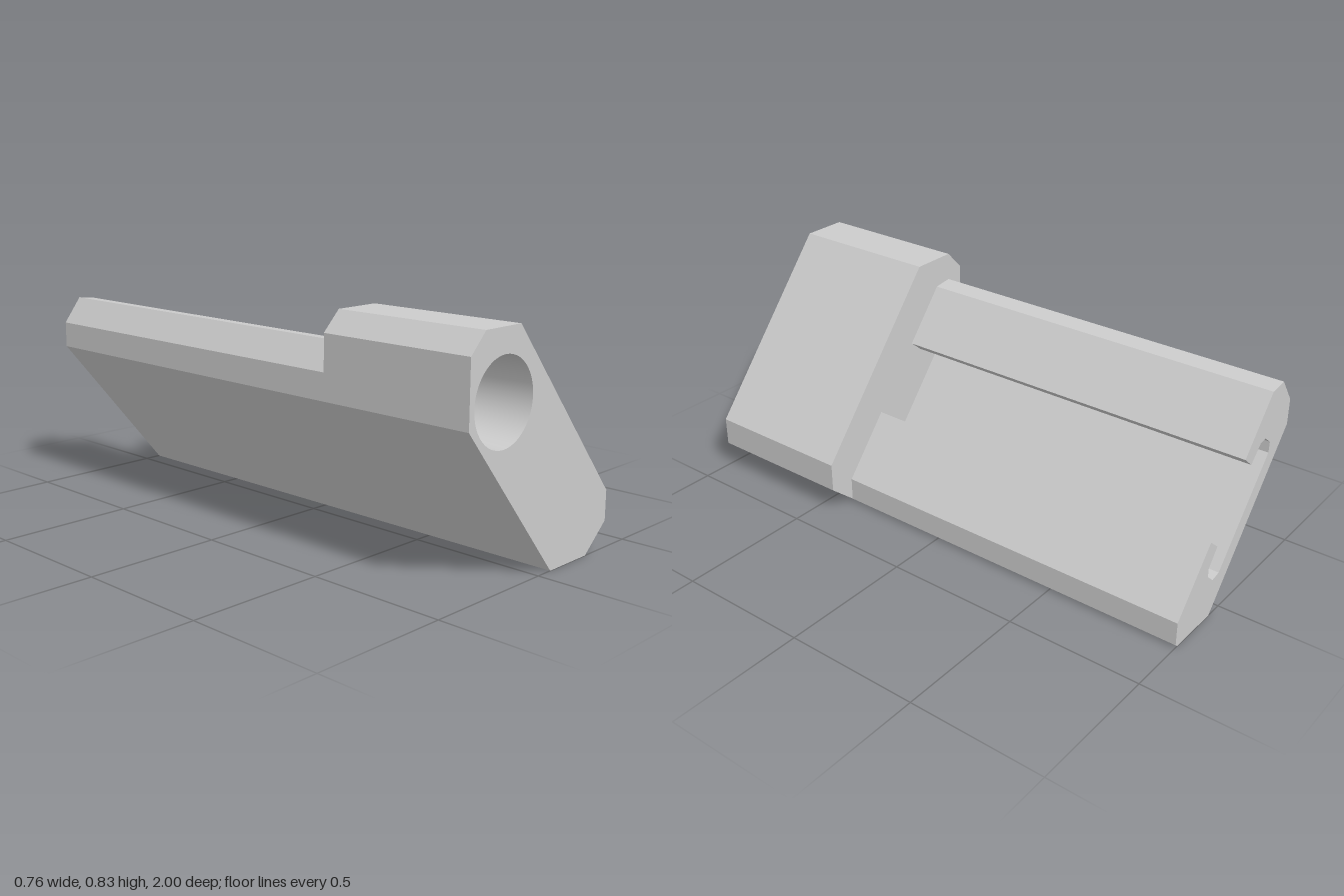
import * as THREE from 'three';
import { toCreasedNormals } from 'three/addons/utils/BufferGeometryUtils.js';

const BACK = -1, STEP = 0.42, FRONT = 1;
const BORE = { x: -0.213, y: 0.598, mouth: 0.145, floor: 0.1225 };
const SEGMENTS = 48;

const material = new THREE.MeshStandardMaterial({ color: 0xcccccc });

const toShape = (points) => new THREE.Shape(points.map(([x, y]) => new THREE.Vector2(x, y)));

// Extrudes a profile between two z positions
function prism(shape, z0, z1) {
  const geometry = new THREE.ExtrudeGeometry(shape, {
    depth: z1 - z0, bevelEnabled: false, curveSegments: SEGMENTS / 2,
  });
  return geometry.translate(0, 0, z0);
}

function addMesh(group, name, geometry, mat = material) {
  const mesh = new THREE.Mesh(geometry, mat);
  mesh.name = name;
  group.add(mesh);
}

// Slanted eight-sided block with a bore that narrows towards its floor
function headBlock() {
  const shape = toShape([
    [0.066, 0], [0.268, 0], [0.38, 0.096], [0.38, 0.203],
    [-0.142, 0.826], [-0.312, 0.826], [-0.38, 0.757], [-0.38, 0.535],
  ]);
  const hole = new THREE.Path();
  hole.absarc(BORE.x, BORE.y, BORE.mouth, 0, Math.PI * 2, true);
  shape.holes.push(hole);
  const geometry = prism(shape, STEP, FRONT);

  // Taper: pull the rear rim of the bore inwards
  const pos = geometry.attributes.position;
  const k = BORE.floor / BORE.mouth;
  for (let i = 0; i < pos.count; i++) {
    const dx = pos.getX(i) - BORE.x, dy = pos.getY(i) - BORE.y;
    if (pos.getZ(i) < STEP + 0.01 && Math.hypot(dx, dy) < BORE.mouth + 0.005) {
      pos.setXY(i, BORE.x + dx * k, BORE.y + dy * k);
    }
  }
  return toCreasedNormals(geometry, 0.5);
}

// Long rail whose slanted face carries an undercut slot
function slottedRail() {
  // Half of the slot: distance along the face, depth below the face
  const half = [
    [0.144, 0], [0.144, 0.063], [0.222, 0.068], [0.246, 0.09],
    [0.248, 0.138], [0.216, 0.164],
  ];
  const along = [0.646, -0.763], inward = [-0.763, -0.646];
  const place = ([u, d]) => [
    0.0075 + u * along[0] + d * inward[0],
    0.42 + u * along[1] + d * inward[1],
  ];
  const lower = half.map(place);
  const upper = half.map(([u, d]) => place([-u, d])).reverse();
  return prism(toShape([
    [0.066, 0], [0.268, 0], [0.28, 0.01], [0.28, 0.097],
    ...lower, ...upper,
    [-0.24, 0.714], [-0.31, 0.723], [-0.38, 0.63], [-0.38, 0.535],
  ]), BACK, STEP);
}

export function createModel() {
  const group = new THREE.Group();
  group.name = 'slottedRailWithHead';
  addMesh(group, 'headBlock', headBlock());
  addMesh(group, 'slottedRail', slottedRail());

  // Thin wall that closes the bore
  const floor = new THREE.CircleGeometry(BORE.floor, SEGMENTS).translate(BORE.x, BORE.y, STEP);
  const twoSided = material.clone();
  twoSided.side = THREE.DoubleSide;
  addMesh(group, 'boreFloor', floor, twoSided);
  return group;
}
